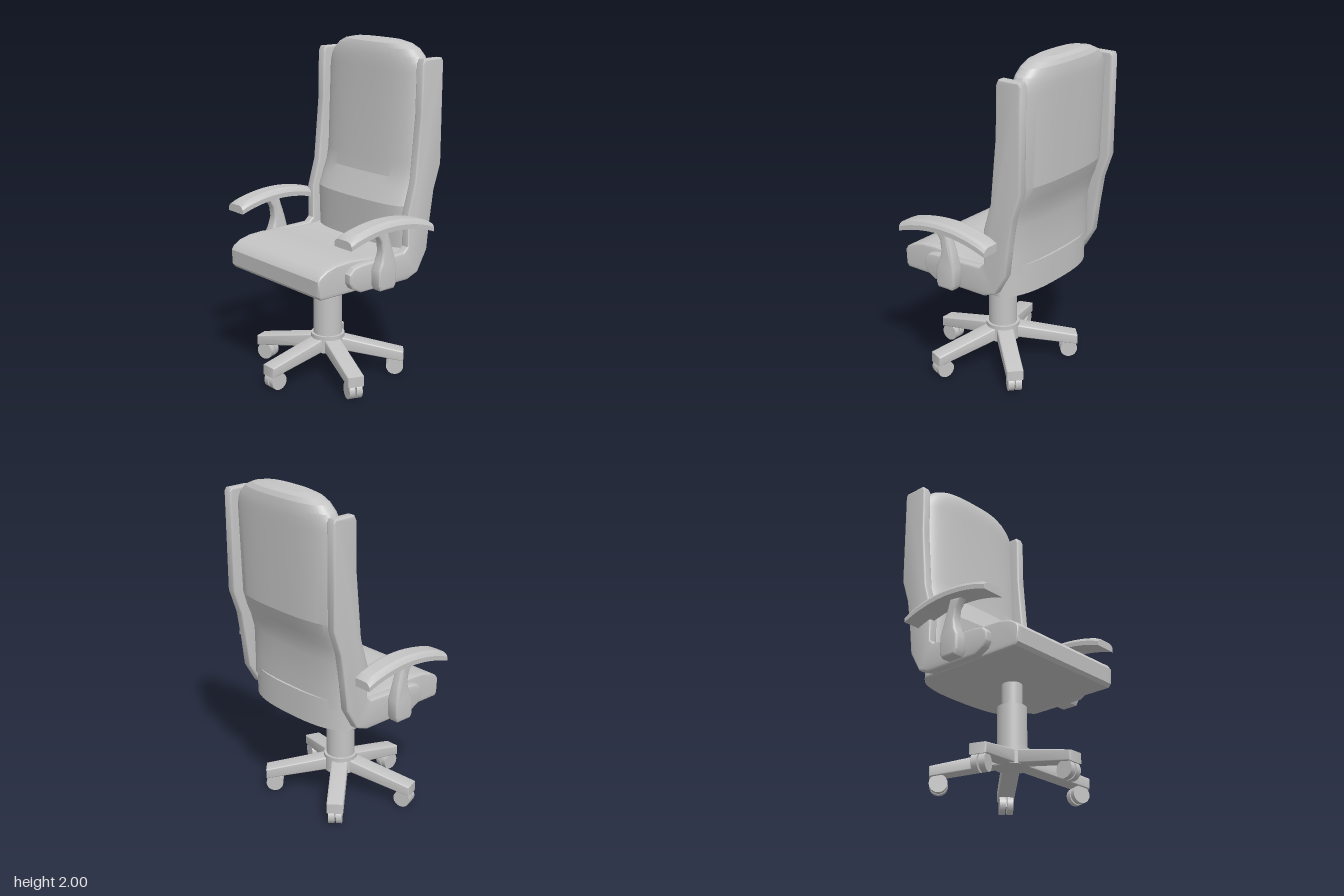
import * as THREE from 'three';
import { toCreasedNormals } from 'three/addons/utils/BufferGeometryUtils.js';

const grey = new THREE.MeshStandardMaterial({ color: 0xc4c4c4 });
grey.name = 'light grey';

function part(parent, name, geometry, x = 0, y = 0, z = 0) {
  const mesh = new THREE.Mesh(geometry, grey);
  mesh.name = name;
  mesh.position.set(x, y, z);
  parent.add(mesh);
  return mesh;
}

// Side profile of [z, y] points, extruded along x and centred on x = 0
function slab(points, width, bevel, steps = 1, bend = null, crease = 0.6) {
  const shape = new THREE.Shape(points.map(p => new THREE.Vector2(p[0], p[1])));
  const depth = width - 2 * bevel;
  const g = new THREE.ExtrudeGeometry(shape, {
    depth, steps, bevelThickness: bevel, bevelSize: bevel, bevelOffset: -bevel, bevelSegments: 3,
  });
  g.translate(0, 0, -depth / 2).rotateY(-Math.PI / 2);
  return toCreasedNormals(bend ? moveVertices(g, bend) : g, crease);
}

function moveVertices(g, rule) {
  const p = g.attributes.position, v = new THREE.Vector3();
  for (let i = 0; i < p.count; i++) {
    rule(v.fromBufferAttribute(p, i));
    p.setXYZ(i, v.x, v.y, v.z);
  }
  return g;
}

// Backrest: rounded sections stacked upward, each [y, half width, front z, back z]
function backrestGeometry() {
  const rows = [
    [0.78, 0.4, -0.19, -0.375], [0.9, 0.4, -0.185, -0.375], [1.07, 0.4, -0.175, -0.382],
    [1.16, 0.4, -0.215, -0.4], [1.22, 0.4, -0.24, -0.425], [1.31, 0.4, -0.25, -0.457],
    [1.83, 0.4, -0.27, -0.472], [1.88, 0.388, -0.272, -0.473], [1.92, 0.365, -0.276, -0.472],
    [1.96, 0.32, -0.283, -0.465], [1.985, 0.265, -0.293, -0.45], [2.0, 0.19, -0.315, -0.425],
  ];
  const n = 48, pos = [], index = [];
  const power = t => Math.sign(t) * Math.abs(t) ** (2 / 2.6);
  for (const [y, w, front, back] of rows) {
    for (let i = 0; i < n; i++) {
      const a = i / n * Math.PI * 2;
      pos.push(w * power(Math.cos(a)), y, (front + back) / 2 + (front - back) / 2 * power(Math.sin(a)));
    }
  }
  for (let r = 0; r < rows.length - 1; r++) {
    for (let i = 0; i < n; i++) {
      const a = r * n + i, b = r * n + (i + 1) % n;
      index.push(a, a + n, b, b, a + n, b + n);
    }
  }
  // Top cap
  const last = (rows.length - 1) * n;
  pos.push(0, 2, -0.37);
  for (let i = 0; i < n; i++) index.push(last + i, last + n, last + (i + 1) % n);
  const g = new THREE.BufferGeometry();
  g.setAttribute('position', new THREE.Float32BufferAttribute(pos, 3));
  g.setIndex(index);
  return toCreasedNormals(g, 0.27);
}

// Curved armrest pad with a chamfered top
function padGeometry() {
  const section = [[-0.072, 0], [0.072, 0], [0.072, 0.028], [0.06, 0.046], [0.04, 0.055],
    [-0.04, 0.055], [-0.06, 0.046], [-0.072, 0.028]];
  const shape = new THREE.Shape(section.map(p => new THREE.Vector2(p[0], p[1])));
  const g = new THREE.ExtrudeGeometry(shape, { depth: 0.625, steps: 14, bevelEnabled: false });
  g.translate(0, 0, -0.295);
  moveVertices(g, v => {
    const t = (v.z - 0.02) / 0.31;
    if (Math.abs(t) > 0.98) v.y *= 0.88;
    v.y += 1.01 - 0.056 * t * t;
  });
  return toCreasedNormals(g, 0.4);
}

export function createModel() {
  const chair = new THREE.Group();
  chair.name = 'officeChair';

  part(chair, 'backrest', backrestGeometry());

  // Seat cushion, with the rear edge rounded in plan
  const seatProfile = [[-0.39, 0.65], [-0.2, 0.65], [0.41, 0.65], [0.427, 0.67], [0.432, 0.76],
    [0.415, 0.785], [0.37, 0.812], [0.3, 0.83], [0.2, 0.836], [0.1, 0.828], [0, 0.818],
    [-0.2, 0.815], [-0.39, 0.83]];
  part(chair, 'seat', slab(seatProfile, 0.826, 0.014, 24, v => {
    if (v.z < -0.2) {
      const u = Math.min(1, Math.abs(v.x) / 0.415);
      v.z = -0.2 + (v.z + 0.2) * (1 - 0.95 * u ** 2.6) ** (1 / 2.6);
    }
  }, 0.5));

  // L-shaped side rails, armrest posts and pads
  const railProfile = [[-0.44, 1.92], [-0.452, 1.9], [-0.45, 1.31], [-0.4, 1.16], [-0.372, 0.98],
    [-0.352, 0.81], [-0.28, 0.685], [-0.2, 0.655], [0.16, 0.655], [0.22, 0.685], [0.242, 0.72],
    [0.242, 0.77], [0.21, 0.803], [0.15, 0.815], [-0.17, 0.822], [-0.2, 0.85], [-0.2, 1.05],
    [-0.25, 1.22], [-0.285, 1.6], [-0.29, 1.89], [-0.305, 1.92]];
  const postProfile = [[0.075, 0.66], [0.09, 0.69], [0.09, 0.78], [0.07, 0.82], [0.055, 0.88],
    [0.065, 0.945], [0.1, 1.0], [0.02, 1.01], [0.0, 0.95], [-0.02, 0.89], [-0.042, 0.79],
    [-0.042, 0.69], [-0.025, 0.66]];
  const rail = slab(railProfile, 0.058, 0.01);
  const post = slab(postProfile, 0.078, 0.014, 1, v => {
    v.x *= 1 - 0.3 * THREE.MathUtils.smoothstep(v.y, 0.79, 0.92);
  });
  const pad = padGeometry();
  for (const [side, s] of [['left', 1], ['right', -1]]) {
    part(chair, side + 'SideRail', rail, s * 0.43);
    part(chair, side + 'ArmPost', post, s * 0.494);
    part(chair, side + 'ArmPad', pad, s * 0.497);
  }

  // Gas column and hub
  const base = new THREE.Group();
  base.name = 'base';
  base.position.z = 0.02;
  chair.add(base);
  const drum = (name, r, y0, y1) =>
    part(base, name, new THREE.CylinderGeometry(r, r, y1 - y0, 32), 0, (y0 + y1) / 2, 0);
  drum('upperColumn', 0.061, 0.5, 0.66);
  drum('lowerColumn', 0.086, 0.24, 0.51);
  drum('hub', 0.102, 0.15, 0.255);

  // Five legs, each with a twin-wheel caster: [angle from the front, length]
  const wheel = new THREE.CylinderGeometry(0.052, 0.052, 0.035, 24).rotateZ(Math.PI / 2);
  for (const [degrees, length] of [[0, 0.455], [70, 0.478], [137, 0.46], [-137, 0.46], [-70, 0.485]]) {
    const leg = new THREE.Group();
    leg.name = 'legWithCaster';
    leg.rotation.y = THREE.MathUtils.degToRad(degrees);
    base.add(leg);
    const profile = [[0.03, 0.155], [0.09, 0.152], [length, 0.086], [length, 0.148], [0.08, 0.235], [0.03, 0.235]];
    part(leg, 'leg', slab(profile, 0.1, 0.008));
    const r = length - 0.052;
    part(leg, 'casterStem', new THREE.BoxGeometry(0.02, 0.07, 0.04), 0, 0.075, r);
    for (const s of [-1, 1]) part(leg, 'casterWheel', wheel, s * 0.0225, 0.052, r);
  }
  return chair;
}
